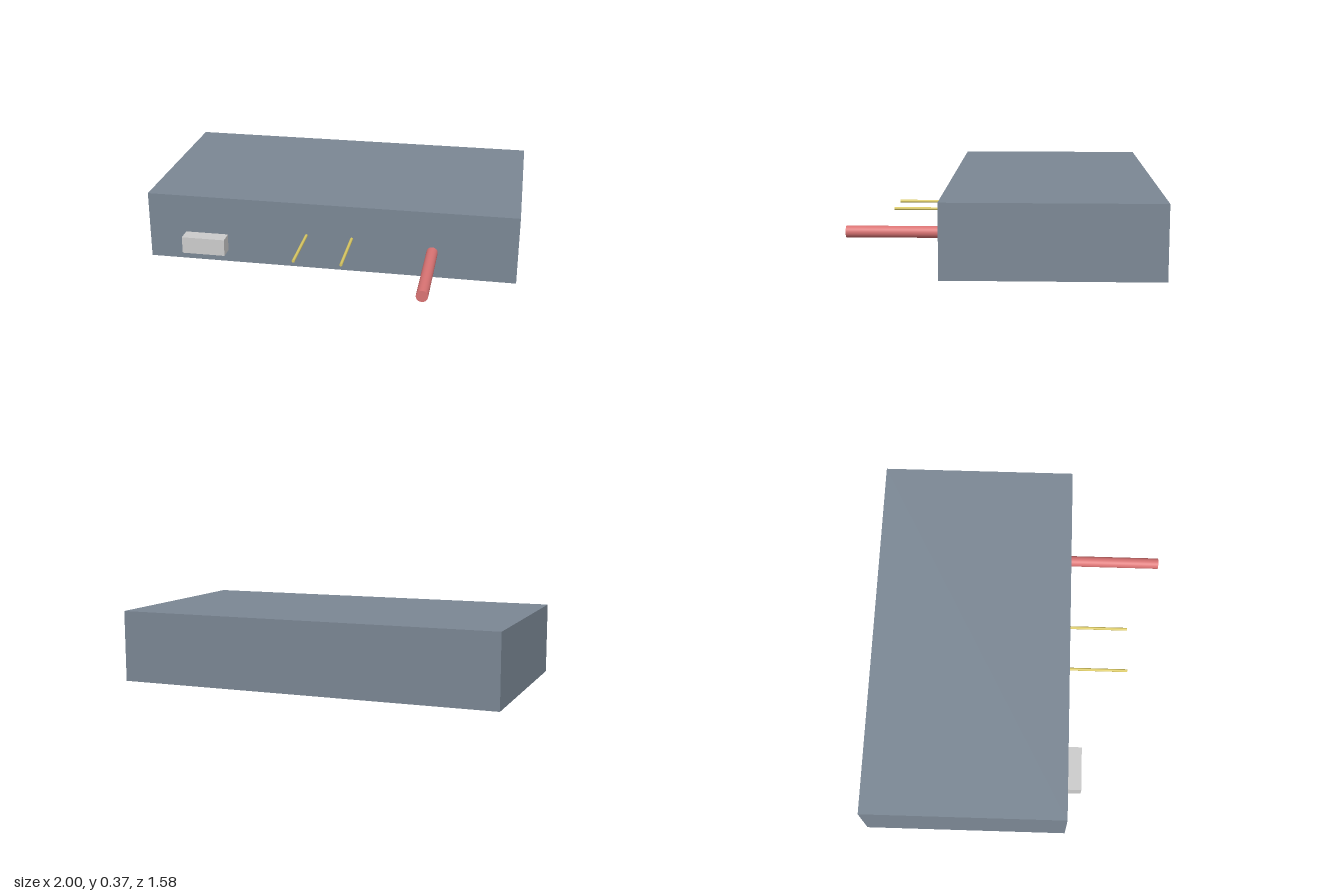
import * as THREE from 'three';

const FRONT = 0.28; // z of the housing's front face

export function createModel() {
  const model = new THREE.Group();
  const material = (color) => new THREE.MeshStandardMaterial({ color });

  const add = (name, geometry, mat, x, y, z) => {
    const mesh = new THREE.Mesh(geometry, mat);
    mesh.name = name;
    mesh.position.set(x, y, z);
    model.add(mesh);
  };

  // Round bar standing straight out of the front face
  const addBar = (name, radius, length, sides, mat, x, y) => {
    const geometry = new THREE.CylinderGeometry(radius, radius, length, sides).rotateX(Math.PI / 2);
    add(name, geometry, mat, x, y, FRONT + length / 2);
  };

  // Main housing
  add('housing', new THREE.BoxGeometry(2, 0.37, 1.07), material(0x7b8794), 0, 0.185, FRONT - 0.535);

  // Small connector block low on the right of the front
  add('connectorBlock', new THREE.BoxGeometry(0.235, 0.092, 0.08), material(0xcccccc), -0.677, 0.113, FRONT + 0.04);

  // Pair of thin contact pins
  const brass = material(0xd8c763);
  for (const side of [-1, 1]) {
    addBar(side > 0 ? 'leftPin' : 'rightPin', 0.008, 0.325, 16, brass, side * 0.123, 0.187);
  }

  // Thick rod on the left
  addBar('rod', 0.03, 0.51, 32, material(0xd97373), 0.553, 0.143);

  return model;
}
